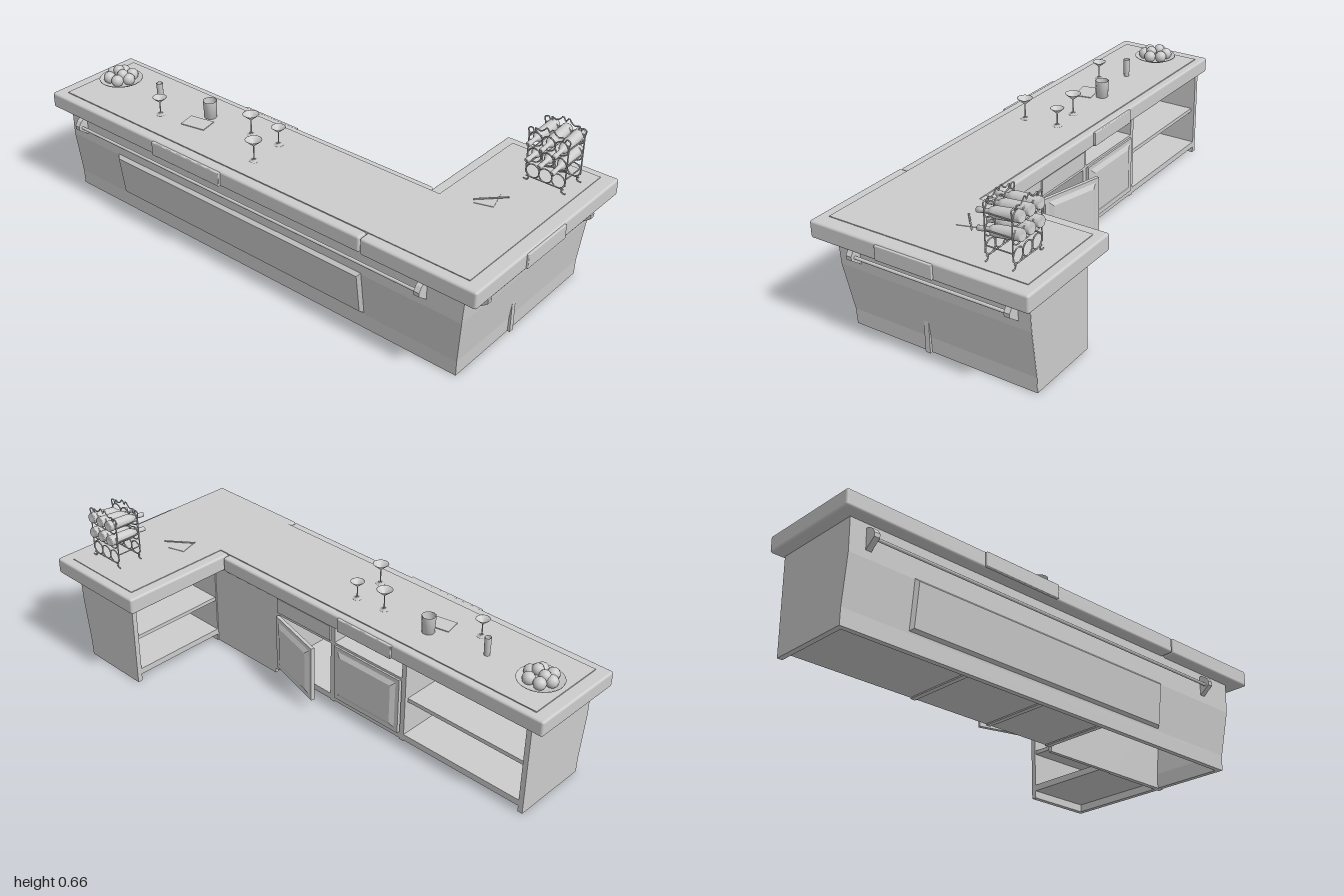
import * as THREE from 'three';
import { RoundedBoxGeometry } from 'three/addons/geometries/RoundedBoxGeometry.js';

const grey = new THREE.MeshStandardMaterial({ color: 0xcccccc });
const flat = new THREE.MeshStandardMaterial({ color: 0xcccccc, flatShading: true });
const thin = new THREE.MeshStandardMaterial({ color: 0xcccccc, side: THREE.DoubleSide });
const TOP = 0.428;

// Outer body face at each level: [y, x of right wall, z of front wall]
const LEVELS = [[0, 0.89, 0.355], [0.06, 0.892, 0.357], [0.24, 0.915, 0.38], [0.365, 0.923, 0.38]];

export function createModel() {
  const root = new THREE.Group();
  root.name = 'barCounter';

  const add = (name, geo, x = 0, y = 0, z = 0, mat = grey, parent = root) => {
    const m = new THREE.Mesh(geo, mat);
    m.name = name;
    m.position.set(x, y, z);
    parent.add(m);
    return m;
  };
  // Box given by its limits on each axis
  const box = (name, x0, x1, y0, y1, z0, z1) =>
    add(name, new THREE.BoxGeometry(x1 - x0, y1 - y0, z1 - z0), (x0 + x1) / 2, (y0 + y1) / 2, (z0 + z1) / 2);
  const rounded = (name, x0, x1, y0, y1, z0, z1, r) =>
    add(name, new RoundedBoxGeometry(x1 - x0, y1 - y0, z1 - z0, 2, r), (x0 + x1) / 2, (y0 + y1) / 2, (z0 + z1) / 2);
  const extrude = (pts, depth) => new THREE.ExtrudeGeometry(
    new THREE.Shape(pts.map(p => new THREE.Vector2(...p))), { depth, bevelEnabled: false });
  // Panel whose front (+z) face is inset to give sloping edges
  const bevelPanel = (w, h, d, inset) => {
    const g = new THREE.BoxGeometry(w, h, d), p = g.attributes.position;
    for (let i = 0; i < p.count; i++) {
      if (p.getZ(i) > 0) p.setXY(i, p.getX(i) * (1 - 2 * inset / w), p.getY(i) * (1 - 2 * inset / h));
    }
    g.computeVertexNormals();
    return g;
  };
  const lathe = (pts, n = 20) => new THREE.LatheGeometry(pts.map(p => new THREE.Vector2(...p)), n);

  // Front and right walls, one angled shell
  const t = 0.02;
  const loops = LEVELS.map(([y, X, Z]) => [
    [-0.95, y, Z], [X, y, Z], [X, y, -0.39], [X - t, y, -0.39], [X - t, y, Z - t], [-0.95, y, Z - t]]);
  const pos = [];
  const quad = (a, b, c, d) => pos.push(...a, ...b, ...c, ...a, ...c, ...d);
  for (let k = 0; k < loops.length - 1; k++) {
    for (let i = 0; i < 6; i++) {
      const j = (i + 1) % 6;
      quad(loops[k][i], loops[k][j], loops[k + 1][j], loops[k + 1][i]);
    }
  }
  const [A, B, C, D, E, F] = loops[0];
  quad(A, F, E, B);
  quad(B, E, D, C);
  const shell = new THREE.BufferGeometry();
  shell.setAttribute('position', new THREE.Float32BufferAttribute(pos, 3));
  shell.computeVertexNormals();
  add('frontAndSideWall', shell);

  // End walls following the sloped outline
  const endGeo = extrude([[0.035, 0], ...LEVELS.map(l => [l[2] - 0.001, l[0]]), [0.035, 0.365]], 0.02);
  add('leftEndWall', endGeo.rotateY(-Math.PI / 2), -0.93);
  add('wingEndWall', extrude([[0.6, 0], ...LEVELS.map(l => [l[1] - 0.001, l[0]]), [0.6, 0.365]], 0.02), 0, 0, -0.391);

  // Raised panel on the front
  add('frontPanel', bevelPanel(1.2, 0.182, 0.016, 0.012), -0.09, 0.155, 0.374).rotation.x = 0.13;

  // Counter top in two slabs, with a slightly raised inner surface
  rounded('longCounterTop', -1, 0.534, 0.362, 0.424, 0.02, 0.428, 0.009);
  rounded('wingCounterTop', 0.538, 0.993, 0.36, 0.425, -0.437, 0.43, 0.009);
  const inlay = extrude([[-0.95, -0.39], [0.94, -0.39], [0.94, 0.4], [0.58, 0.4], [0.58, -0.05], [-0.95, -0.05]], 0.012);
  add('topInlay', inlay.rotateX(-Math.PI / 2), 0, TOP - 0.012, 0);
  rounded('frontEdgePlate', -0.43, -0.09, 0.365, 0.42, 0.42, 0.437, 0.003);
  rounded('backEdgePlate', -0.35, -0.09, 0.365, 0.42, 0.012, 0.03, 0.003);
  rounded('sideEdgePlate', 0.985, 1, 0.365, 0.42, -0.08, 0.15, 0.003);

  // Rails on brackets
  const rail = (name, length) => {
    const g = new THREE.Group();
    g.name = name;
    const profile = [[-0.005, 0.345], [0.012, 0.345], [0.03, 0.333], [0.042, 0.315], [0.041, 0.3], [-0.005, 0.265]];
    for (const s of [-1, 1]) {
      add('railBracket', extrude(profile, 0.022).rotateY(-Math.PI / 2), s * length / 2 + 0.011, 0, 0, grey, g);
    }
    add('railBar', new THREE.CylinderGeometry(0.006, 0.006, length, 12).rotateZ(Math.PI / 2), 0, 0.305, 0.024, grey, g);
    root.add(g);
    return g;
  };
  rail('frontRail', 1.64).position.set(-0.055, 0, 0.38);
  const sideRail = rail('sideRail', 0.632);
  sideRail.rotation.y = Math.PI / 2;
  sideRail.position.set(0.92, 0, -0.017);

  // Cabinet interior along the back
  box('cornerPanel', 0.26, 0.62, 0, 0.362, 0.035, 0.05);
  for (const x of [0.25, -0.05, -0.4]) box('divider', x - 0.01, x + 0.01, 0.02, 0.362, 0.035, 0.34);
  box('bottomBoard', -0.93, 0.26, 0.025, 0.05, 0.035, 0.338);
  box('openShelf', -0.93, -0.4, 0.19, 0.206, 0.05, 0.35);
  box('drawerShelf', -0.4, 0.25, 0.28, 0.292, 0.035, 0.36);
  box('drawerFront', -0.04, 0.24, 0.295, 0.358, 0.028, 0.042);

  // Doors, one closed and one ajar
  const door = (w, parent, x) => {
    add('doorBoard', new THREE.BoxGeometry(w, 0.235, 0.014), x, 0.165, 0, grey, parent);
    add('doorPanel', bevelPanel(w - 0.03, 0.205, 0.01, 0.02).rotateY(Math.PI), x, 0.165, -0.011, grey, parent);
  };
  const closed = new THREE.Group(), ajar = new THREE.Group();
  closed.name = 'closedDoor';
  ajar.name = 'openDoor';
  door(0.32, closed, 0);
  closed.position.set(-0.225, 0, 0.034);
  door(0.265, ajar, -0.132);
  ajar.position.set(0.235, 0, 0.026);
  ajar.rotation.y = -0.26;
  root.add(closed, ajar);

  // Wing shelves, open to the inner side
  box('wingPartition', 0.6, 0.9, 0, 0.362, 0.03, 0.05);
  box('wingBottomBoard', 0.6, 0.875, 0.03, 0.055, -0.375, 0.035);
  box('wingShelf', 0.605, 0.888, 0.19, 0.206, -0.375, 0.035);

  // Fruit plate
  add('plate', lathe([[0, 0.002], [0.05, 0.002], [0.085, 0.018], [0.083, 0.02], [0.05, 0.006], [0, 0.006]], 28), -0.86, TOP - 0.002, 0.195, thin);
  for (let i = 0; i < 6; i++) {
    const a = i * Math.PI / 3;
    add('fruit', new THREE.SphereGeometry(0.024, 12, 8), -0.86 + Math.cos(a) * 0.045, TOP + 0.025, 0.195 + Math.sin(a) * 0.045);
  }
  for (const s of [-1, 1]) add('fruit', new THREE.SphereGeometry(0.022, 12, 8), -0.86 + s * 0.02, TOP + 0.039, 0.195 + s * 0.008);

  // Stemmed glasses: x, z, rim radius, height
  for (const [x, z, r, h] of [[-0.545, 0.28, 0.027, 0.073], [-0.18, 0.17, 0.031, 0.086], [-0.055, 0.16, 0.027, 0.073], [-0.045, 0.3, 0.031, 0.086]]) {
    add('stemGlass', lathe([[0, 0.003], [0.018, 0], [0.018, 0.002], [0.0025, 0.005], [0.002, h * 0.7], [r, h], [r - 0.002, h], [0, h * 0.74]]), x, TOP, z, thin);
  }
  // Tall shaker glass and tumbler
  add('tallGlass', lathe([[0, 0], [0.011, 0], [0.013, 0.072], [0.011, 0.072], [0.01, 0.006], [0, 0.006]]), -0.63, TOP, 0.2, thin);
  add('tumbler', lathe([[0, 0], [0.024, 0], [0.027, 0.068], [0.025, 0.068], [0.022, 0.006], [0, 0.006]], 12), -0.39, TOP, 0.17, thin);
  add('napkin', new THREE.BoxGeometry(0.1, 0.003, 0.07), -0.39, TOP + 0.002, 0.24).rotation.y = 0.2;

  // Paper and pen on the wing
  add('paper', new THREE.BoxGeometry(0.07, 0.002, 0.09), 0.72, TOP + 0.001, -0.03).rotation.y = 0.3;
  const pen = add('pen', new THREE.CylinderGeometry(0.003, 0.003, 0.12, 8).rotateZ(Math.PI / 2), 0.735, TOP + 0.008, -0.03);
  pen.rotation.set(0, 0.73, 0.05);

  // Wire bottle rack
  const rack = new THREE.Group();
  rack.name = 'bottleRack';
  root.add(rack);
  const wire = (name, pts) => add(name, new THREE.TubeGeometry(
    new THREE.CatmullRomCurve3(pts.map(p => new THREE.Vector3(...p))), 16, 0.0025, 6), 0, 0, 0, grey, rack);
  const cx = 0.826, cols = [-0.05, 0, 0.05], rows = [0.472, 0.535, 0.598];
  for (const z of [-0.217, -0.32]) {
    for (const y of rows) {
      for (const c of cols) add('rackRing', new THREE.TorusGeometry(0.026, 0.0025, 6, 20), cx + c, y, z, grey, rack);
    }
    for (const s of [-1, 1]) {
      wire('rackSide', [[cx + s * 0.077, 0.46, z], [cx + s * 0.077, 0.54, z], [cx + s * 0.077, 0.62, z]]);
      wire('rackFoot', [[cx + s * 0.084, 0.432, z], [cx + s * 0.07, 0.432, z], [cx + s * 0.065, 0.442, z], [cx + s * 0.077, 0.465, z]]);
      wire('rackScroll', [[cx + s * 0.077, 0.61, z], [cx + s * 0.08, 0.632, z], [cx + s * 0.066, 0.637, z], [cx + s * 0.06, 0.625, z]]);
      wire('rackCrest', [[cx + s * 0.05, 0.624, z], [cx + s * 0.055, 0.64, z], [cx + s * 0.035, 0.635, z],
        [cx + s * 0.02, 0.645, z], [cx + s * 0.012, 0.655, z], [cx, 0.64, z]]);
    }
    wire('rackBase', [[cx - 0.075, 0.446, z], [cx, 0.446, z], [cx + 0.075, 0.446, z]]);
  }
  for (const s of [-1, 1]) {
    for (const y of [0.487, 0.54, 0.6]) wire('rackTie', [[cx + s * 0.077, y, -0.217], [cx + s * 0.077, y, -0.27], [cx + s * 0.077, y, -0.32]]);
  }

  // Bottles lying in the upper two rows, necks dipping forward
  const bottle = lathe([[0, 0.004], [0.018, 0], [0.021, 0.004], [0.021, 0.1], [0.017, 0.115], [0.009, 0.126],
    [0.0075, 0.15], [0.0095, 0.151], [0.0095, 0.17], [0, 0.17]], 16);
  for (const y of [0.545, 0.608]) {
    cols.forEach((c, i) => {
      add('bottle', bottle, cx + c, y, -0.34, grey, rack).rotation.x = Math.PI / 2 + 0.1 + (i - 1) * 0.04;
    });
  }
  return root;
}
